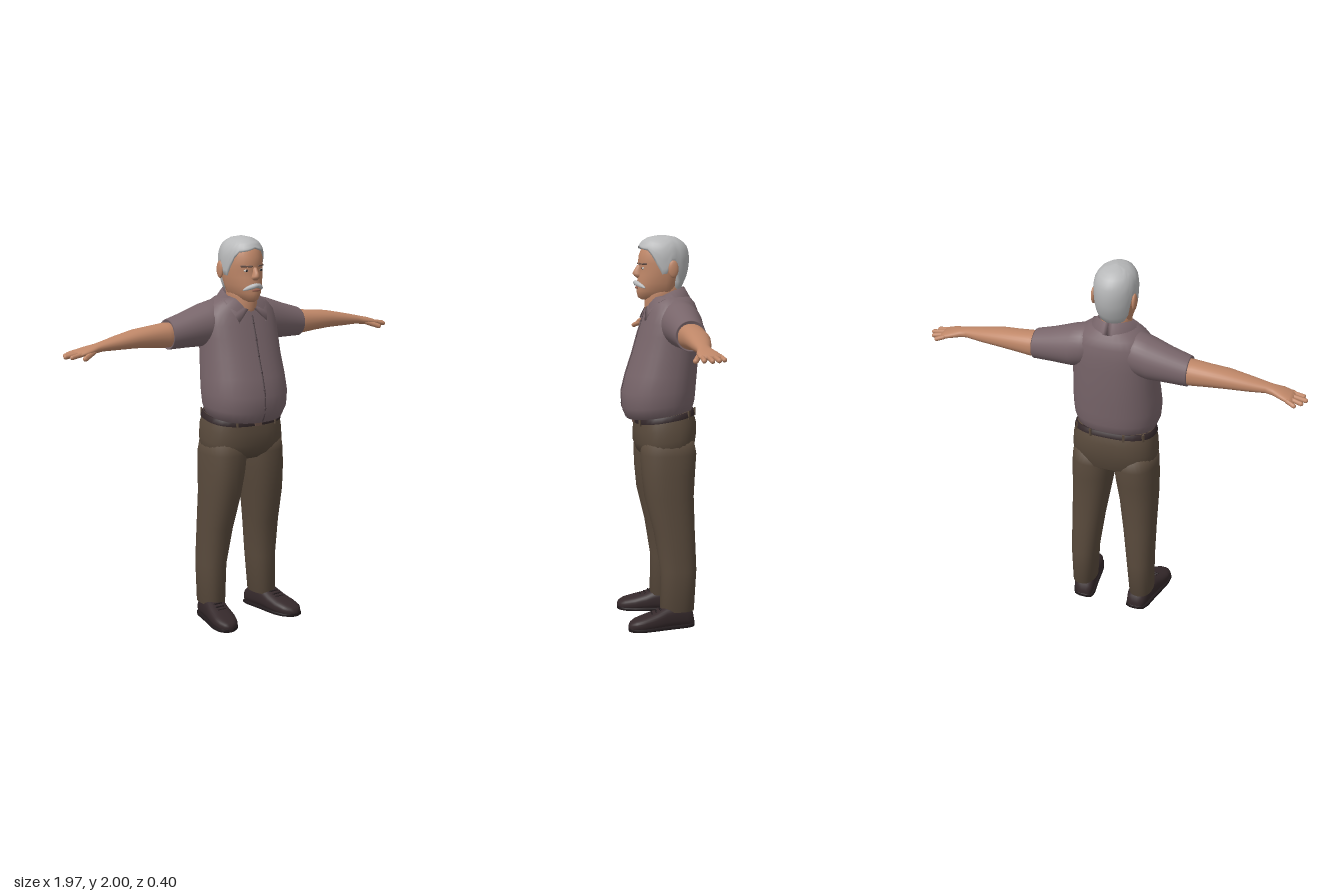
import * as THREE from 'three';

const mat = (name, color) => Object.assign(new THREE.MeshStandardMaterial({ color }), { name });
const M = {
  skin: mat('skin', 0xbf8768), hair: mat('grey hair', 0xb8b9ba), shirt: mat('shirt', 0x78656a),
  seam: mat('shirt seam', 0x55464b), pants: mat('trousers', 0x594a3c), shoe: mat('shoe leather', 0x35292b),
  sole: mat('dark sole', 0x221b1d), brow: mat('brow', 0x6b5248), white: mat('eye white', 0xd8d0c8), lip: mat('lip', 0x9c6252),
};
const N = 32;
const angles = Array.from({ length: N }, (_, i) => (i / N) * Math.PI * 2);
const pw = (v, e) => Math.sign(v) * Math.abs(v) ** (2 / e);

// Skin over closed rings of [x, y, z] points, with fan caps
function loft(rows, caps = true) {
  const n = rows[0].length, pos = rows.flat(2), idx = [];
  for (let i = 0; i < rows.length - 1; i++) for (let j = 0; j < n; j++) {
    const a = i * n + j, b = i * n + (j + 1) % n;
    idx.push(a, b, b + n, a, b + n, a + n);
  }
  if (caps) [0, rows.length - 1].forEach((r, end) => {
    const c = pos.length / 3;
    for (let k = 0; k < 3; k++) pos.push(rows[r].reduce((s, p) => s + p[k], 0) / n);
    for (let j = 0; j < n; j++) {
      const a = r * n + j, b = r * n + (j + 1) % n;
      idx.push(...(end ? [a, b, c] : [b, a, c]));
    }
  });
  const g = new THREE.BufferGeometry();
  g.setAttribute('position', new THREE.Float32BufferAttribute(pos, 3));
  g.setIndex(idx);
  g.computeVertexNormals();
  return g;
}

// Linear lookup in a table whose first column is height
function sample(table, y) {
  let i = 0;
  while (i < table.length - 2 && y > table[i + 1][0]) i++;
  const t = THREE.MathUtils.clamp((y - table[i][0]) / (table[i + 1][0] - table[i][0]), 0, 1);
  return table[i].map((v, k) => v + (table[i + 1][k] - v) * t);
}

// Ring points: upright [y, halfWidth, front, back], sideways [x, cy, cz, ry, rz]
const upPoint = ([y, rx, f, b], a, e = 2, cx = 0, mid = (f + b) / 2) => {
  const c = pw(Math.cos(a), e);
  return [cx + rx * pw(Math.sin(a), e), y, mid + (c > 0 ? f - mid : mid - b) * c];
};
const upLoft = (table, e, cx, mid) => loft(table.map(s => angles.map(a => upPoint(s, a, e, cx, mid))));
const sideLoft = (table, e = 2) => loft(table.map(([x, cy, cz, ry, rz]) =>
  angles.map(a => [x, cy + ry * pw(Math.cos(a), e), cz + rz * pw(Math.sin(a), e)])));

// Lower hems of shirt and waistband dip at the front
const tilt = (y, z) => y - 0.03 * THREE.MathUtils.clamp((1.3 - y) / 0.2, 0, 1) * z / 0.19;
function tilted(geo, from = 0) {
  const p = geo.attributes.position;
  for (let i = 0; i < p.count; i++) if (p.getY(i) > from) p.setY(i, tilt(p.getY(i), p.getZ(i)));
  geo.computeVertexNormals();
  return geo;
}
function mirrored(geo) {
  const g = geo.clone().scale(-1, 1, 1), ix = g.index.array;
  for (let i = 0; i < ix.length; i += 3) [ix[i], ix[i + 1]] = [ix[i + 1], ix[i]];
  g.computeVertexNormals();
  return g;
}
const ball = (x, y, z, sx, sy, sz) => new THREE.SphereGeometry(1, 20, 14).scale(sx, sy, sz).translate(x, y, z);
function rod(a, b, r) {
  const A = new THREE.Vector3(...a), d = new THREE.Vector3(...b).sub(A), len = d.length();
  const q = new THREE.Quaternion().setFromUnitVectors(new THREE.Vector3(0, 1, 0), d.clone().normalize());
  return new THREE.CapsuleGeometry(r, len, 5, 10).applyQuaternion(q).translate(...A.addScaledVector(d, 0.5).toArray());
}

const TORSO = [[1.095, .18, .145, -.15], [1.1, .2, .172, -.165], [1.15, .219, .196, -.176], [1.22, .225, .199, -.181],
  [1.3, .222, .176, -.187], [1.4, .215, .143, -.194], [1.5, .213, .115, -.196], [1.56, .213, .096, -.196],
  [1.62, .2, .078, -.19], [1.66, .165, .062, -.175], [1.69, .12, .045, -.15], [1.7, .08, .03, -.12]];
const HEAD = [[1.675, .035, .09, -.03], [1.688, .055, .112, -.05], [1.72, .077, .12, -.075], [1.76, .09, .116, -.095],
  [1.8, .097, .111, -.115], [1.835, .1, .105, -.13], [1.86, .1, .111, -.134], [1.9, .099, .106, -.134],
  [1.94, .088, .09, -.12], [1.97, .065, .06, -.09], [1.99, .02, .01, -.04]];
const HAIR = [[1.7, .075, .05, -.09], [1.74, .092, .08, -.112], [1.79, .102, .1, -.135], [1.84, .107, .108, -.148],
  [1.9, .108, .113, -.15], [1.94, .1, .111, -.14], [1.97, .082, .092, -.115], [1.99, .052, .058, -.08], [2, .006, 0, -.02]];
const HAIRLINE = [[0, 1.945], [.45, 1.93], [.8, 1.925], [1.1, 1.88], [1.3, 1.81], [1.55, 1.8], [1.7, 1.87], [1.98, 1.87],
  [2.15, 1.77], [2.4, 1.73], [3.15, 1.715]];
const MID = -.02;
const faceZ = (x, y) => {
  const [, rx, f] = sample(HEAD, y);
  return MID + (f - MID) * Math.sqrt(1 - (x / rx) ** 2);
};

export function createModel() {
  const root = new THREE.Group();
  const add = (name, geo, m) => {
    const mesh = new THREE.Mesh(geo, m);
    mesh.name = name;
    root.add(mesh);
  };
  const both = (name, geo, m) => {
    add('left ' + name, geo, m);
    add('right ' + name, mirrored(geo), m);
  };

  // Head, neck and hair
  add('head', upLoft(HEAD, 2, 0, MID), M.skin);
  add('neck', upLoft([[1.6, .07, .07, -.11], [1.64, .072, .078, -.11], [1.7, .075, .078, -.1], [1.77, .078, .06, -.1]]), M.skin);
  const low = a => sample(HAIRLINE, Math.min(a, Math.PI * 2 - a))[1];
  const hairRows = [angles.map(a => {
    const p = upPoint(sample(HEAD, low(a)), a, 2, 0, MID);
    return [p[0] * .95, p[1], MID + (p[2] - MID) * .95];
  })];
  for (let v = 0; v <= 12; v++) hairRows.push(angles.map(a => {
    const y = low(a) + (2 - low(a)) * Math.sin(v / 12 * Math.PI / 2);
    return upPoint(sample(HAIR, y), a, 2, 0, MID);
  }));
  add('hair', loft(hairRows), M.hair);

  // Face
  add('nose', upLoft([[1.785, .012, .116, .08], [1.795, .023, .13, .08], [1.808, .02, .14, .08], [1.825, .013, .131, .08],
    [1.85, .01, .115, .08]]), M.skin);
  const half = [[.058, 1.738, .086, .003, .004], [.045, 1.747, .1, .01, .01], [.022, 1.757, .117, .013, .013]];
  add('moustache', sideLoft([...half.map(r => [-r[0], ...r.slice(1)]), [0, 1.762, .123, .011, .013], ...half.reverse()]), M.hair);
  add('lower lip', ball(0, 1.737, .118, .026, .006, .007), M.lip);
  both('eye', ball(.043, 1.835, faceZ(.043, 1.835), .016, .007, .005), M.white);
  both('iris', ball(.043, 1.835, faceZ(.043, 1.835) + .003, .006, .006, .004), M.sole);
  both('brow', rod([.02, 1.857, faceZ(.02, 1.857)], [.064, 1.857, faceZ(.064, 1.857)], .005), M.brow);
  both('ear', ball(.104, 1.833, -.052, .012, .044, .026).rotateZ(0), M.skin);

  // Shirt body and sleeves
  add('shirt body', tilted(upLoft(TORSO, 2.25)), M.shirt);
  both('sleeve', sideLoft([[.06, 1.575, -.07, .1, .095], [.14, 1.57, -.077, .11, .105], [.2, 1.557, -.08, .108, .103],
    [.3, 1.54, -.083, .09, .087], [.398, 1.525, -.084, .076, .077], [.403, 1.525, -.084, .072, .073], [.392, 1.525, -.084, .06, .06]]), M.shirt);

  // Button strip and buttons
  const strip = [];
  for (let i = 0; i <= 16; i++) {
    const y = 1.105 + i * .0315, z = sample(TORSO, y)[2], Y = tilt(y, z);
    strip.push([[-.004, Y, z + .002], [.004, Y, z + .002], [.004, Y, z - .006], [-.004, Y, z - .006]]);
  }
  add('button strip', loft(strip), M.seam);
  for (let i = 0; i < 6; i++) {
    const y = 1.17 + i * .08, z = sample(TORSO, y)[2];
    add('button', ball(0, tilt(y, z), z + .002, .006, .006, .003), M.seam);
  }

  // Folded collar, both wings meeting at the back
  const wing = [[], [], [], []];
  for (let i = 0; i <= 14; i++) {
    const t = i / 14, a = .2 + (Math.PI - .2) * t, b = .72 + (Math.PI - .72) * t, c = Math.cos(a), k = Math.cos(b);
    const top = [.087 * Math.sin(a), 1.712 - .05 * c - .025 * c * c, -.025 + .102 * c];
    const end = [.126 * Math.sin(b), 1.688 - (k > 0 ? .195 * k * k : .005), -.025 + (k > 0 ? .155 : .132) * k];
    wing[0].push(top.map((v, j) => j === 1 ? v - .03 : v * .93));
    wing[1].push(top);
    wing[2].push(end);
    wing[3].push(end.map((v, j) => j === 1 ? v - .004 : v * .94));
  }
  both('collar', loft(wing.reverse(), true), M.shirt);

  // Arms and hands
  both('arm', sideLoft([[.34, 1.523, -.084, .062, .064], [.42, 1.522, -.086, .062, .066], [.5, 1.522, -.085, .054, .062],
    [.59, 1.521, -.081, .046, .06], [.7, 1.511, -.075, .034, .047], [.78, 1.503, -.068, .024, .034], [.815, 1.497, -.067, .022, .036],
    [.86, 1.489, -.07, .02, .052], [.9, 1.481, -.077, .016, .056], [.916, 1.478, -.079, .01, .052]], 2.2), M.skin);
  [['little finger', -.123, -.134, .93], ['ring finger', -.094, -.104, .958], ['middle finger', -.066, -.07, .973],
    ['index finger', -.038, -.036, .955]].forEach(([name, z0, z1, x]) =>
    both(name, rod([.895, 1.481, z0], [x, 1.47, z1], .0115), M.skin));
  both('thumb', rod([.835, 1.487, -.04], [.9, 1.463, -.008], .013), M.skin);

  // Trousers
  add('trouser seat', tilted(upLoft([[.87, .17, .08, -.13], [.9, .215, .115, -.166], [.97, .222, .134, -.18], [1.03, .217, .134, -.18],
    [1.07, .209, .13, -.168], [1.1, .2, .125, -.158]], 2.5), .95), M.pants);
  const LEG = [[.088, .1, .225, .026, -.15], [.3, .085, .228, .022, -.163], [.5, .06, .228, .055, -.156], [.68, .033, .228, .1, -.152],
    [.8, .012, .228, .113, -.16], [.9, .001, .224, .118, -.168], [.97, .001, .215, .11, -.155]];
  both('trouser leg', loft(LEG.map(([y, i, o, f, b]) => angles.map(a => upPoint([y, (o - i) / 2, f, b], a, 2.3, (o + i) / 2)))), M.pants);

  // Belt, buckle and loops
  add('belt', tilted(upLoft([[1.07, .205, .128, -.166], [1.072, .213, .136, -.174], [1.098, .206, .134, -.167], [1.1, .198, .126, -.158]], 2.5)), M.shoe);
  add('buckle', new THREE.BoxGeometry(.04, .028, .008).translate(0, 1.064, .138), M.brow);
  [.5, 2.2, 2.8].forEach(a => {
    const [x, y, z] = upPoint([1.083, .211, .137, -.173], a, 2.5);
    both('belt loop', new THREE.BoxGeometry(.012, .04, .008).rotateY(a).translate(x, tilt(y, z), z), M.pants);
  });

  // Shoes, toes turned outward
  const SHOE = [[-.152, .025, .04], [-.143, .045, .08], [-.11, .056, .115], [-.05, .058, .125], [0, .06, .115], [.05, .064, .092],
    [.11, .066, .074], [.16, .056, .06], [.185, .036, .047], [.195, .015, .034]];
  const shoe = (grow, height) => loft(SHOE.map(([z, w, h]) => angles.map(a => {
    const top = height || h;
    return [.16 + (z + .08) * .17 - (w + grow) * pw(Math.sin(a), 2.6), top / 2 + top / 2 * pw(Math.cos(a), height ? 8 : 2.6), z];
  })));
  both('shoe', shoe(0, 0), M.shoe);
  both('sole', shoe(.005, .02), M.sole);
  for (let i = 0; i < 3; i++) {
    const z = .03 + i * .022, x = .16 + (z + .08) * .17, y = .103 - i * .009;
    both('lace', rod([x - .022, y - .002, z], [x + .022, y - .002, z], .004), M.sole);
  }
  return root;
}
